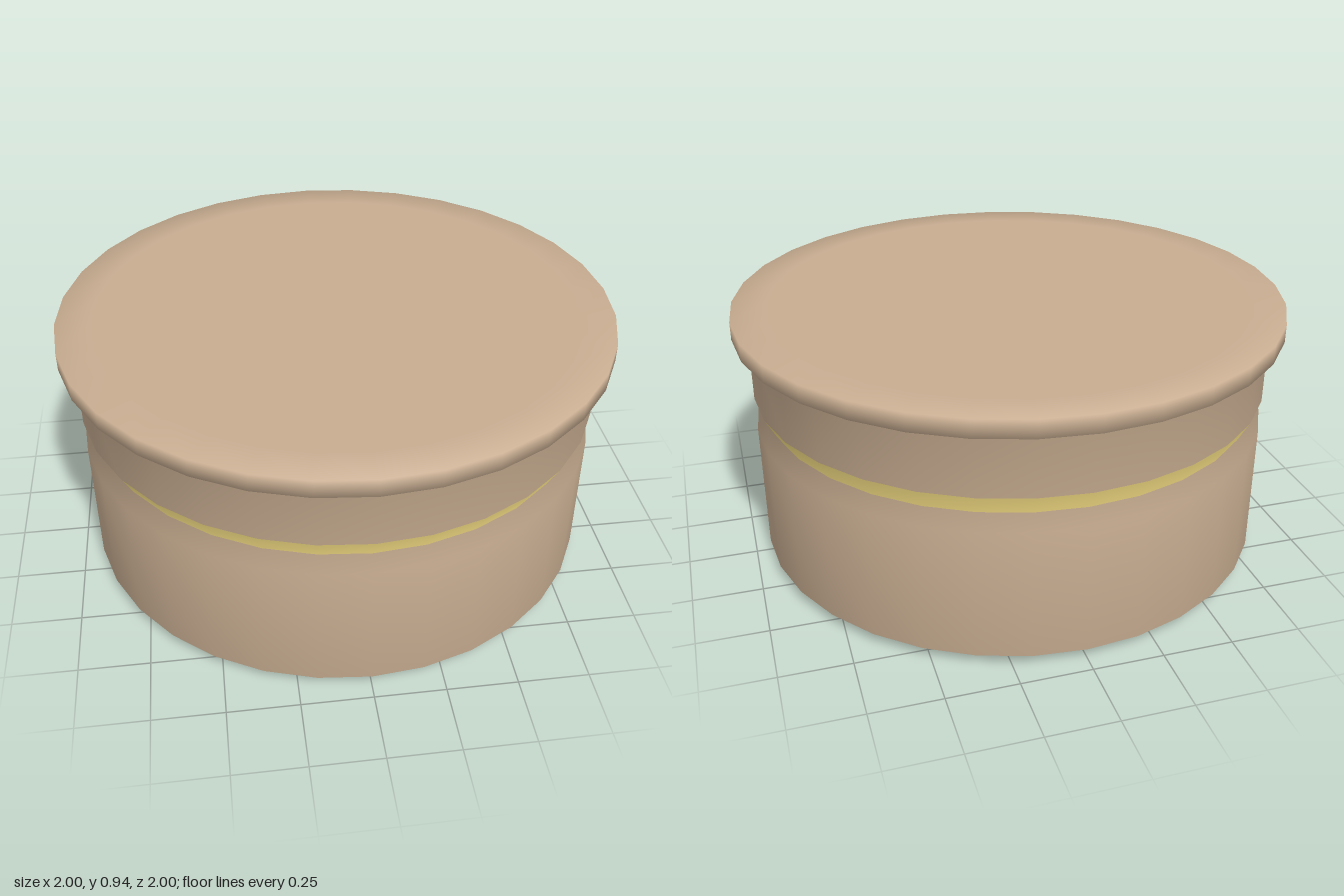
import * as THREE from 'three';

export function createModel() {
  const model = new THREE.Group();
  model.name = 'lippedCanister';
  const tan = new THREE.MeshStandardMaterial({ name: 'tan', color: 0xc8ad91 });
  const gold = new THREE.MeshStandardMaterial({ name: 'gold', color: 0xdfca77 });

  // Outline from the base centre, up the wall and groove, over the lip to the top centre
  const profile = [
    [0, 0], [0.885, 0], [0.945, 0.04], [0.945, 0.52], [0.905, 0.57], [0.945, 0.645],
    [0.945, 0.855], [1, 0.88], [1, 0.945], [0.87, 0.945], [0, 0.945],
  ].map(([r, y]) => new THREE.Vector2(r, y));
  const lathe = new THREE.LatheGeometry(profile, 32);
  const rows = profile.length;

  // Splits rows of faces off the lathe, keeping its shared smooth normals
  function addPart(name, firstRow, lastRow, material) {
    const geometry = lathe.clone();
    const index = lathe.index.array;
    const kept = [];
    for (let i = 0; i < index.length; i += 3) {
      const row = Math.min(index[i] % rows, index[i + 1] % rows, index[i + 2] % rows);
      if (row >= firstRow && row <= lastRow) kept.push(index[i], index[i + 1], index[i + 2]);
    }
    geometry.setIndex(kept);
    const mesh = new THREE.Mesh(geometry, material);
    mesh.name = name;
    model.add(mesh);
  }

  addPart('lowerBody', 0, 3, tan);
  addPart('grooveBand', 4, 4, gold);
  addPart('upperBodyAndLip', 5, 9, tan);
  return model;
}
